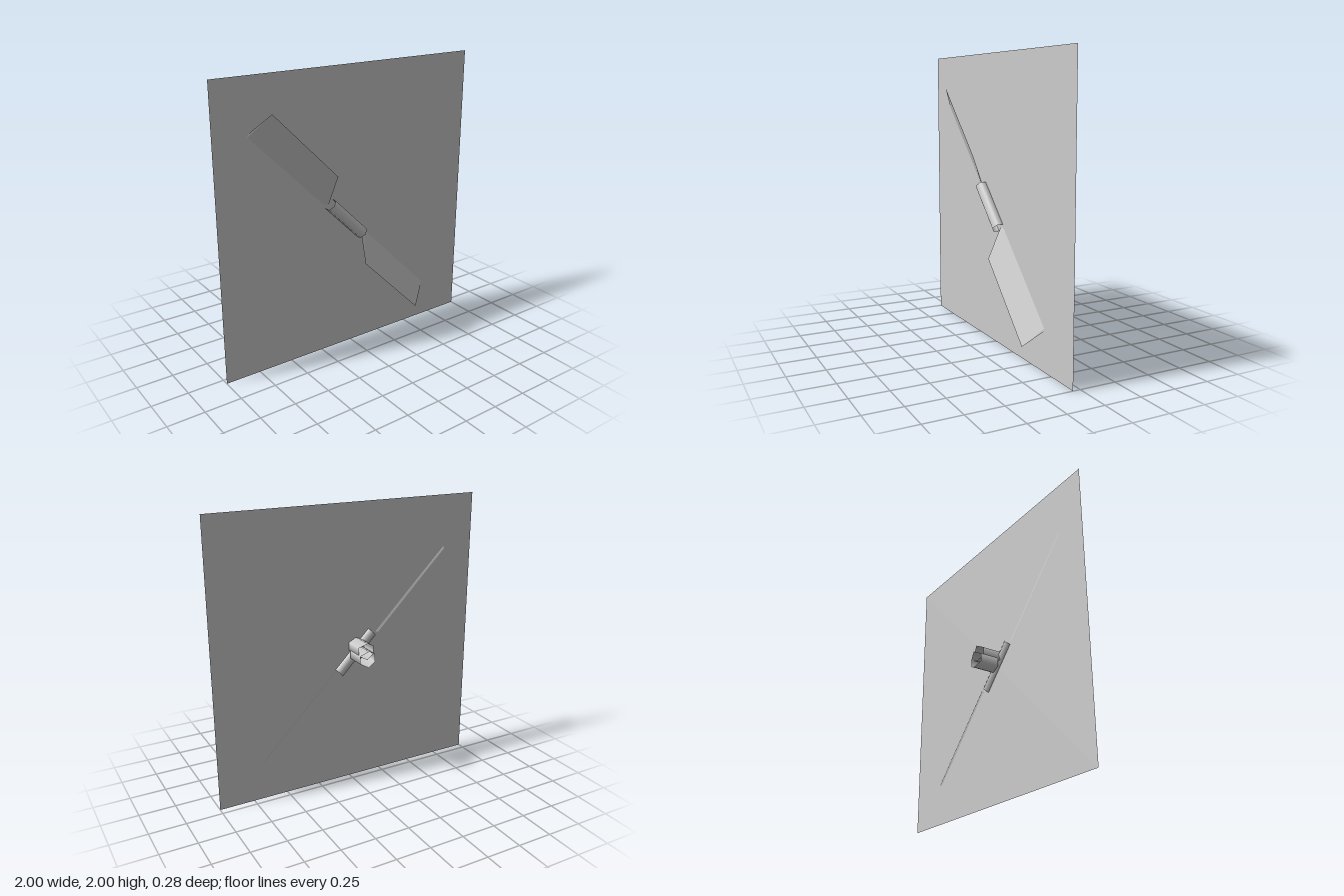
import * as THREE from 'three';

const material = new THREE.MeshStandardMaterial({ color: 0xcccccc, side: THREE.DoubleSide });
const CENTRE = [-0.05, 0.955];

function addMesh(parent, name, geometry, x = 0, y = 0, z = 0) {
  const mesh = new THREE.Mesh(geometry, material);
  mesh.name = name;
  mesh.position.set(x, y, z);
  parent.add(mesh);
  return mesh;
}

// Thin wedge: a triangular section at the root joined to one at the tip
function bladeGeometry() {
  const root = [[-0.165, 1.295, 0.14], [-0.185, 1.082, 0.055], [-0.23, 1.08, 0.045]];
  const tip = [[-0.64, 1.77, 0.14], [-0.76, 1.65, 0.055], [-0.77, 1.62, 0.045]];
  const out = [];
  for (let i = 0; i < 3; i++) {
    const j = (i + 1) % 3;
    out.push(...root[i], ...tip[j], ...tip[i], ...root[i], ...root[j], ...tip[j]);
  }
  out.push(...root[0], ...root[2], ...root[1], ...tip[0], ...tip[1], ...tip[2]);
  const g = new THREE.BufferGeometry();
  g.setAttribute('position', new THREE.Float32BufferAttribute(out, 3));
  g.translate(-CENTRE[0], -CENTRE[1], 0);
  g.computeVertexNormals();
  return g;
}

// Open six-sided sleeve along z whose rear rim dips at the sides
function sleeveGeometry() {
  const g = new THREE.CylinderGeometry(0.066, 0.066, 0.16, 6, 1, true);
  g.rotateX(Math.PI / 2);
  g.scale(1, 0.88, 1);
  const p = g.attributes.position;
  for (let i = 0; i < p.count; i++) {
    if (p.getZ(i) < 0 && Math.abs(p.getX(i)) > 0.02) p.setZ(i, p.getZ(i) + 0.02);
  }
  return g;
}

export function createModel() {
  const model = new THREE.Group();
  model.name = 'propeller';

  // Square sheet behind the blades
  addMesh(model, 'backSheet', new THREE.PlaneGeometry(2, 2), 0, 1, 0.05);

  // Diagonal hub tube
  const hub = new THREE.CylinderGeometry(0.045, 0.045, 0.37, 6, 1, true);
  hub.rotateZ(Math.PI / 4);
  addMesh(model, 'hub', hub, ...CENTRE, 0.07);

  // Two blades, half a turn apart
  const blade = bladeGeometry();
  addMesh(model, 'upperBlade', blade, ...CENTRE, 0);
  addMesh(model, 'lowerBlade', blade, ...CENTRE, 0).rotation.z = Math.PI;

  // Two overlapping sleeves at the back
  const sleeve = sleeveGeometry();
  addMesh(model, 'upperSleeve', sleeve, -0.05, 1.009, -0.037);
  addMesh(model, 'lowerSleeve', sleeve, -0.05, 0.958, -0.059);

  return model;
}
